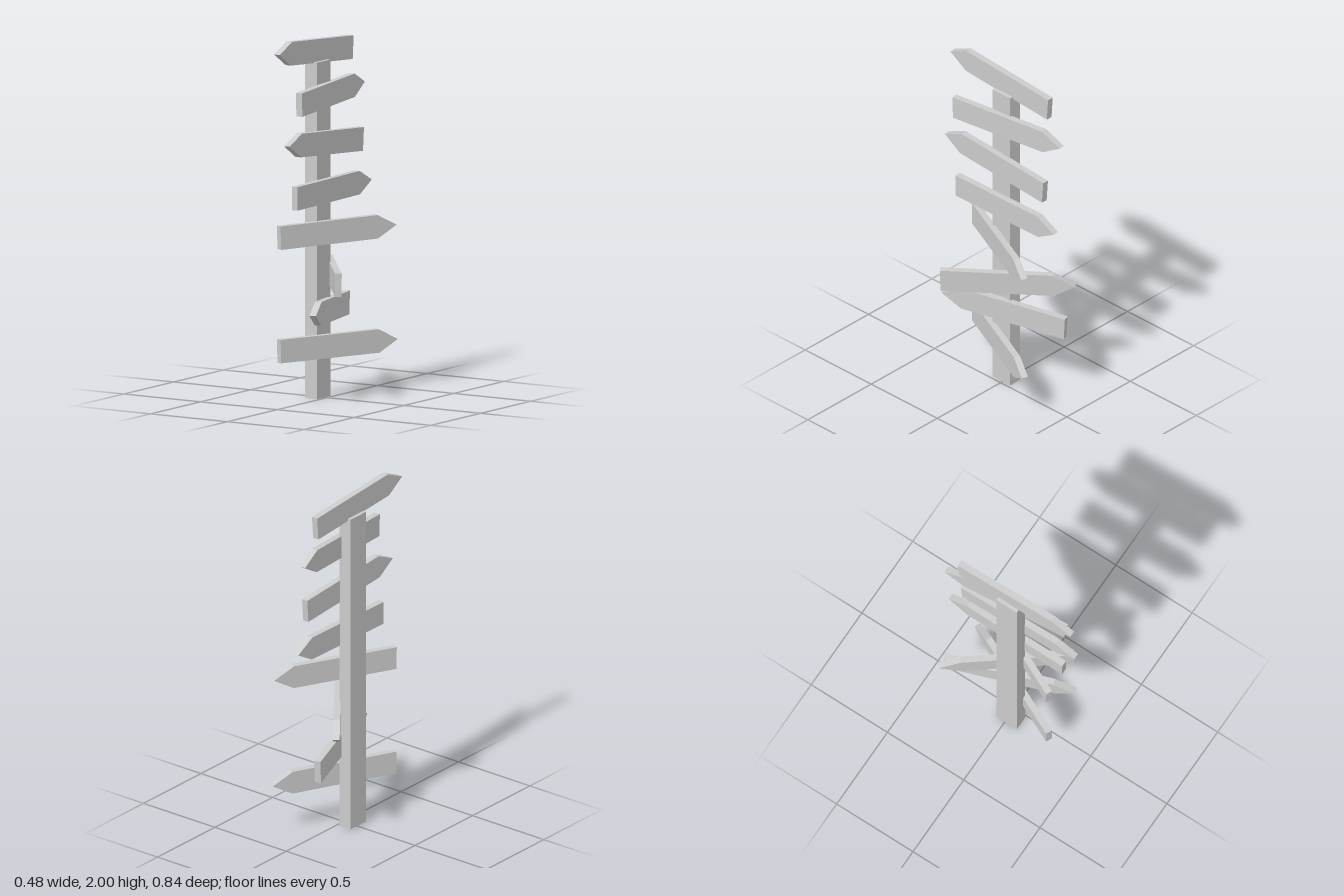
import * as THREE from 'three';

const material = new THREE.MeshStandardMaterial({ color: 0xcccccc, flatShading: true });

// Arrow board centred on its thickness, blunt end at x = 0, tip at x = length
function boardGeometry(length, height = 0.13, point = 0.12, thickness = 0.037) {
  const h = height / 2;
  const shape = new THREE.Shape([
    new THREE.Vector2(0, -h),
    new THREE.Vector2(length - point, -h),
    new THREE.Vector2(length, 0),
    new THREE.Vector2(length - point, h),
    new THREE.Vector2(0, h),
  ]);
  return new THREE.ExtrudeGeometry(shape, { depth: thickness, bevelEnabled: false })
    .translate(0, 0, -thickness / 2);
}

// Middle of the blunt end, then the tip, for each board from top to bottom
const boards = [
  [[-0.056, 1.892, -0.318], [-0.056, 1.946, 0.417]],
  [[0.027, 1.663, 0.322], [-0.046, 1.69, -0.418]],
  [[0, 1.387, -0.335], [0, 1.442, 0.405]],
  [[0, 1.143, 0.325], [0, 1.152, -0.418]],
  [[-0.116, 0.914, 0.304], [0.2, 0.927, -0.37]],
  [[0.227, 0.672, 0.237], [-0.228, 0.681, -0.348]],
  [[-0.12, 0.467, -0.377], [0.117, 0.505, 0.325]],
  [[-0.116, 0.287, 0.304], [0.203, 0.294, -0.378]],
];

export function createModel() {
  const model = new THREE.Group();
  model.name = 'signpost';

  // Upright post
  const post = new THREE.Mesh(new THREE.BoxGeometry(0.078, 1.86, 0.135), material);
  post.name = 'post';
  post.position.set(-0.055, 0.93, 0.011);
  model.add(post);

  // Arrow boards, each turned and tilted from its blunt end towards its tip
  boards.forEach(([end, tip], i) => {
    const start = new THREE.Vector3(...end);
    const d = new THREE.Vector3(...tip).sub(start);
    const board = new THREE.Mesh(boardGeometry(d.length()), material);
    board.name = `arrowBoard${i + 1}`;
    board.position.copy(start);
    board.rotation.set(0, Math.atan2(-d.z, d.x), Math.asin(d.y / d.length()), 'YXZ');
    model.add(board);
  });

  return model;
}
